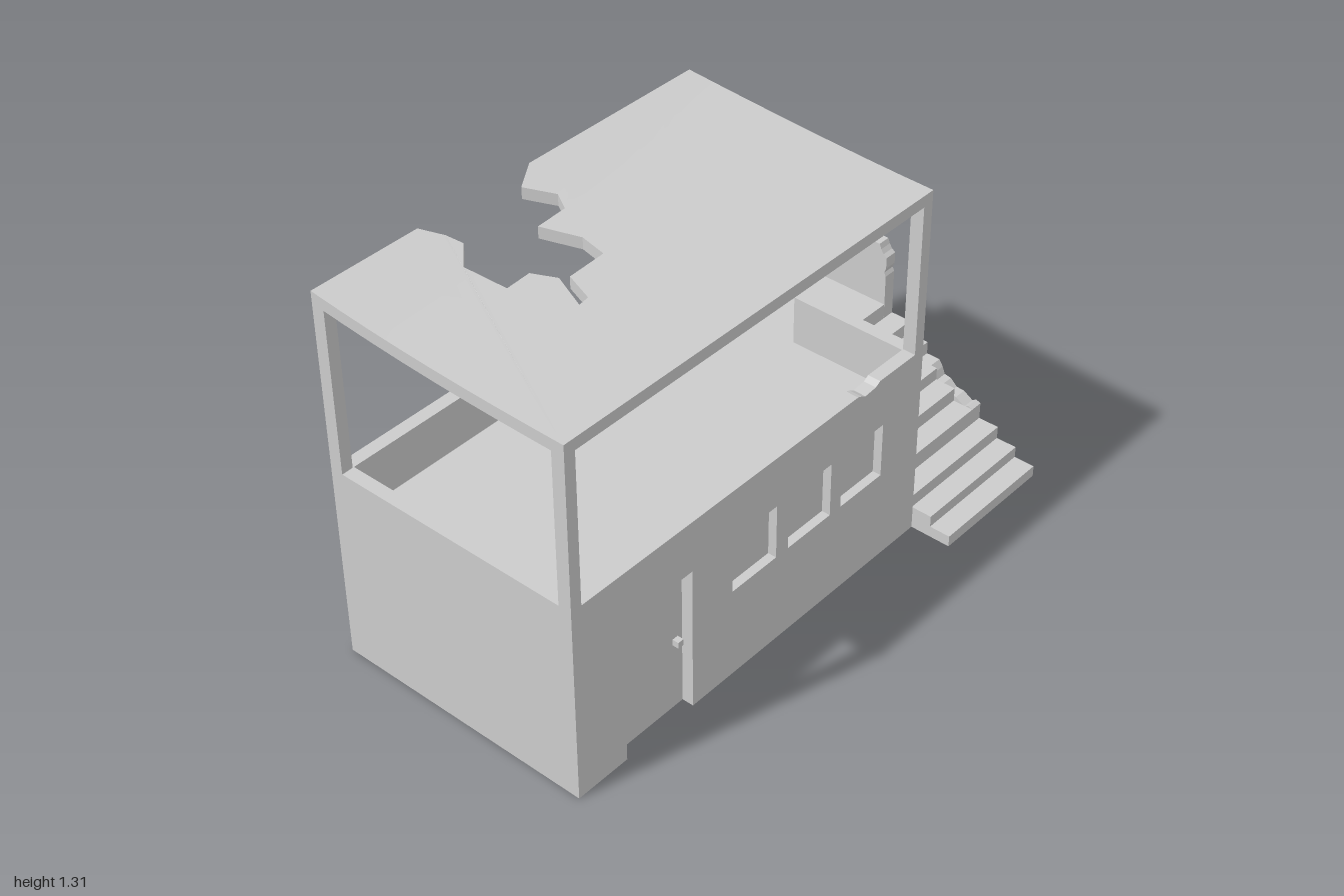
import * as THREE from 'three';
import { toCreasedNormals } from 'three/addons/utils/BufferGeometryUtils.js';

const material = new THREE.MeshStandardMaterial({ color: 0xcccccc });

export function createModel() {
  const model = new THREE.Group();

  const add = (name, geometry) => {
    const mesh = new THREE.Mesh(geometry, material);
    mesh.name = name;
    model.add(mesh);
    return mesh;
  };
  // Box given by its limits on each axis
  const box = (name, x0, x1, y0, y1, z0, z1) => {
    const g = new THREE.BoxGeometry(x1 - x0, y1 - y0, z1 - z0);
    g.translate((x0 + x1) / 2, (y0 + y1) / 2, (z0 + z1) / 2);
    return add(name, g);
  };
  const toShape = (points) => new THREE.Shape(points.map(([x, y]) => new THREE.Vector2(x, y)));
  const extrude = (shape, depth) =>
    new THREE.ExtrudeGeometry(shape, { depth, bevelEnabled: false, curveSegments: 1 });
  // Profile of [z, y] points extruded from x0 to x1
  const sideProfile = (name, points, x0, x1) => {
    const g = extrude(toShape(points.map(([z, y]) => [-z, y])), x1 - x0);
    g.rotateY(Math.PI / 2).translate(x0, 0, 0);
    return add(name, g);
  };

  // Front wall with doorway, window openings and a chipped top edge
  const facade = toShape([
    [-1, 0], [-0.8, 0], [-0.8, 0.52], [-0.515, 0.52], [-0.515, 0], [0.54, 0], [0.54, 0.7],
    [0.33, 0.7], [0.31, 0.688], [0.26, 0.684], [0.24, 0.695], [0.225, 0.7], [-1, 0.7],
  ]);
  const windows = [-0.34, -0.088, 0.16];
  for (const x of windows) {
    facade.holes.push(new THREE.Path([
      new THREE.Vector2(x, 0.325), new THREE.Vector2(x, 0.52),
      new THREE.Vector2(x + 0.197, 0.52), new THREE.Vector2(x + 0.197, 0.325),
    ]));
    box('windowPane', x, x + 0.197, 0.325, 0.52, 0.345, 0.36);
  }
  add('frontWall', extrude(facade, 0.045).translate(0, 0, 0.345));
  box('door', -0.8, -0.515, 0, 0.52, 0.34, 0.35);
  box('doorKnob', -0.556, -0.534, 0.244, 0.266, 0.35, 0.372);

  // Back wall, running behind house and stair, with a broken notch
  add('backWall', extrude(toShape([
    [-1, 0], [1, 0], [1, 0.7], [-0.325, 0.7], [-0.34, 0.68], [-0.37, 0.665], [-0.372, 0.635],
    [-0.392, 0.605], [-0.398, 0.64], [-0.43, 0.665], [-0.455, 0.685], [-0.465, 0.7], [-1, 0.7],
  ]), 0.045).translate(0, 0, -0.535));

  // House body, terrace floor and the step up to it
  box('houseBody', -1, 0.45, 0, 0.53, -0.49, 0.345);
  box('houseBodySide', 0.45, 0.54, 0, 0.53, -0.07, 0.345);
  box('terraceStep', 0.45, 0.54, 0, 0.48, -0.49, -0.07);
  box('leftParapet', -1, -0.955, 0.53, 0.7, -0.49, 0.345);
  box('rightParapet', 0.495, 0.54, 0.53, 0.7, -0.07, 0.345);

  // Outer stair with landing
  const heights = [0.04, 0.08, 0.125, 0.185, 0.235, 0.28, 0.325, 0.375];
  const tread = 0.0743;
  const stepPoints = (from, to) => {
    const points = [];
    for (let i = from; i < to; i++) {
      points.push([0.535 - i * tread, heights[i]], [0.535 - (i + 1) * tread, heights[i]]);
    }
    return points;
  };
  sideProfile('stair', [
    [-0.49, 0], [0.535, 0], ...stepPoints(0, 8), [-0.06, 0.43], [-0.49, 0.43],
  ], 0.54, 0.955);

  // Outer stair wall with crumbled edges
  sideProfile('stairWall', [
    [-0.49, 0], [0.535, 0], ...stepPoints(0, 3),
    [0.312, 0.185], [0.295, 0.192], [0.28, 0.182], [0.245, 0.203], [0.215, 0.205],
    [0.19, 0.228], [0.165, 0.232], [0.155, 0.258], [0.14, 0.28], [0.09, 0.28],
    ...stepPoints(6, 8),
    [-0.06, 0.54], [-0.067, 0.553], [-0.06, 0.572], [-0.06, 0.612], [-0.073, 0.622],
    [-0.083, 0.637], [-0.09, 0.655], [-0.49, 0.655],
  ], 0.955, 1);

  // Corner posts
  for (const x of [-1, 0.5]) {
    box('frontPost', x, x + 0.04, 0.69, 1.235, 0.345, 0.39);
    box('backPost', x, x + 0.04, 0.69, 1.28, -0.535, -0.49);
  }

  // Sagging roof slab with a jagged hole broken in from the back edge
  const roofOutline = [
    [-1, 0.39], [0.54, 0.39], [0.54, -0.535], [-0.16, -0.535], [-0.26, -0.47], [-0.21, -0.375],
    [-0.245, -0.315], [-0.36, -0.31], [-0.31, -0.187], [-0.325, -0.095], [-0.465, -0.09],
    [-0.5, 0.01], [-0.54, 0.015], [-0.49, -0.107], [-0.53, -0.18], [-0.62, -0.176],
    [-0.635, -0.325], [-0.56, -0.4], [-0.57, -0.46], [-0.605, -0.535], [-1, -0.535],
  ];
  let roof = extrude(toShape(roofOutline.map(([x, z]) => [x, -z])), 0.04);
  roof.rotateX(-Math.PI / 2).translate(0, 1.225, 0);
  roof = subdivide(roof, 3);
  const p = roof.attributes.position;
  for (let i = 0; i < p.count; i++) {
    const t = (0.39 - p.getZ(i)) / 0.925;
    const side = (p.getX(i) + 1) / 1.54;
    const power = THREE.MathUtils.lerp(2.4, 1.5, side);
    p.setY(i, p.getY(i) + 0.045 * Math.pow(Math.max(t, 0), power));
  }
  add('roof', toCreasedNormals(roof, Math.PI / 7));

  return model;
}

// Splits every triangle into four, several times, so a flat slab can bend
function subdivide(geometry, times) {
  const p = (geometry.index ? geometry.toNonIndexed() : geometry).attributes.position;
  let triangles = [];
  for (let i = 0; i < p.count; i += 3) {
    triangles.push([0, 1, 2].map((k) => new THREE.Vector3().fromBufferAttribute(p, i + k)));
  }
  const mid = (a, b) => a.clone().add(b).multiplyScalar(0.5);
  for (let n = 0; n < times; n++) {
    triangles = triangles.flatMap(([a, b, c]) => {
      const ab = mid(a, b), bc = mid(b, c), ca = mid(c, a);
      return [[a, ab, ca], [ab, b, bc], [ca, bc, c], [ab, bc, ca]];
    });
  }
  return new THREE.BufferGeometry().setFromPoints(triangles.flat());
}
